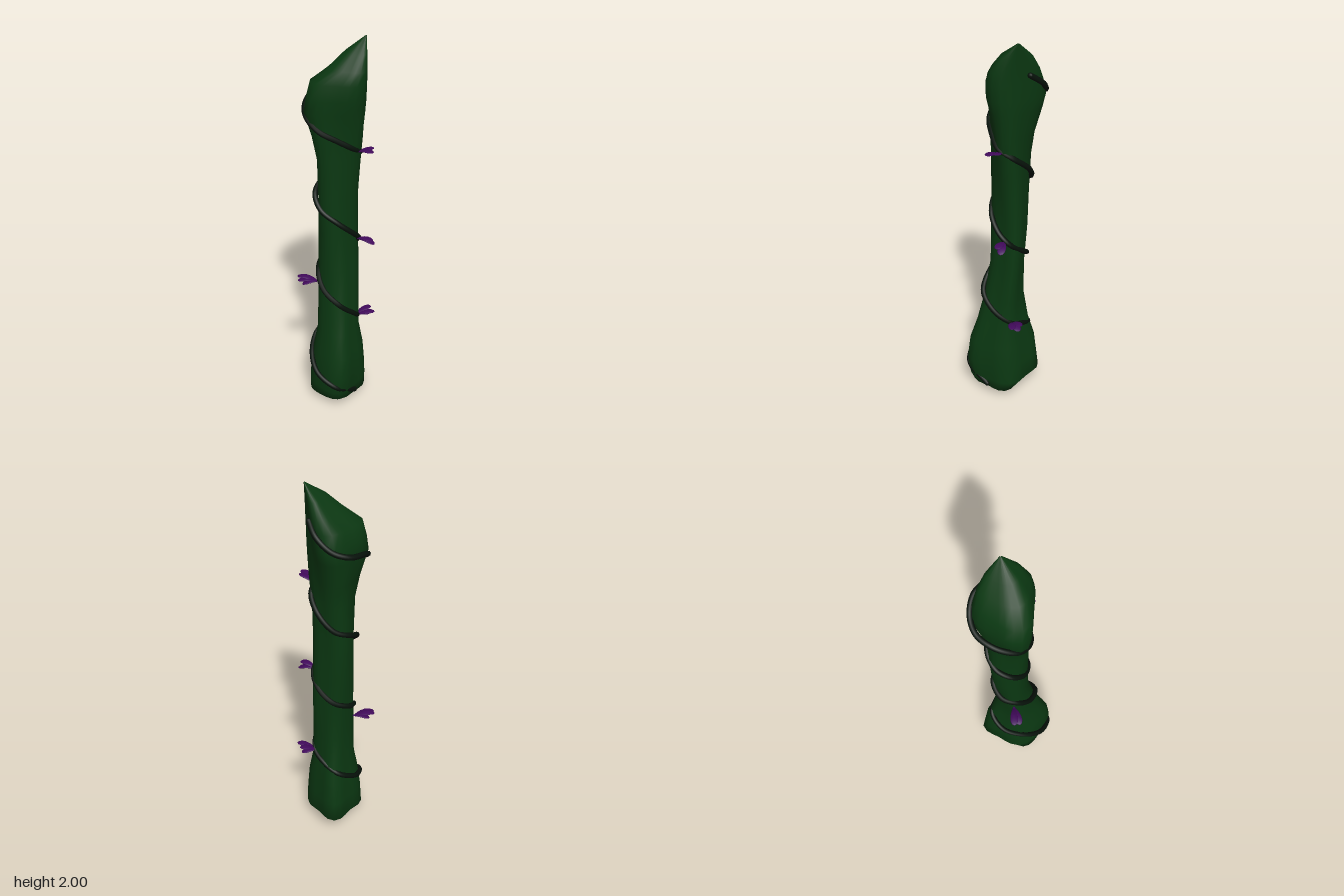
import * as THREE from 'three';

const green = new THREE.MeshStandardMaterial({ color: 0x0b3812 });
const vineMat = new THREE.MeshStandardMaterial({ color: 0x07120a });
const purple = new THREE.MeshStandardMaterial({ color: 0x420a5c });
const SIDES = 24;

// Trunk sections: y, then the reach in x (min, max) and z (min, max)
const sections = [
  [0, 0, 0.004, 0.04, 0.044],
  [0.015, -0.06, 0.05, -0.04, 0.13],
  [0.05, -0.145, 0.15, -0.11, 0.17],
  [0.1, -0.143, 0.155, -0.187, 0.19],
  [0.2, -0.137, 0.15, -0.175, 0.203],
  [0.32, -0.122, 0.14, -0.16, 0.188],
  [0.44, -0.1, 0.118, -0.125, 0.148],
  [0.6, -0.096, 0.115, -0.1, 0.107],
  [0.8, -0.092, 0.115, -0.1, 0.072],
  [1.0, -0.09, 0.112, -0.118, 0.064],
  [1.2, -0.09, 0.11, -0.126, 0.06],
  [1.4, -0.095, 0.117, -0.13, 0.058],
  [1.52, -0.118, 0.126, -0.147, 0.06],
  [1.65, -0.155, 0.132, -0.178, 0.08],
  [1.72, -0.145, 0.135, -0.187, 0.097],
  [1.8, -0.124, 0.137, -0.17, 0.1],
  [1.86, -0.04, 0.138, -0.147, 0.087],
  [1.93, 0.035, 0.139, -0.108, 0.045],
  [2.0, 0.136, 0.14, -0.037, -0.033],
];

// Outline that goes from a lopsided diamond at the foot to a
// rounded triangle at the head, fitted to its section
function ring([y, x0, x1, z0, z1]) {
  const phase = Math.PI / 4 + (Math.min(y, 1.75) - 1.75) * 1.2;
  const blend = THREE.MathUtils.smoothstep(y, 0.3, 1.6);
  const pts = Array.from({ length: SIDES }, (_, i) => {
    const t = (i / SIDES) * Math.PI * 2;
    const bulge = Math.max(0, Math.cos(t - 0.75 * Math.PI)) ** 4;
    const foot = 1 + 0.1 * Math.cos(4 * t) + 0.18 * bulge;
    const head = 1 / (1 - 0.16 * Math.cos(3 * (t - phase)));
    const r = THREE.MathUtils.lerp(foot, head, blend);
    return [r * Math.cos(t), r * Math.sin(t)];
  });
  const fit = (k, lo, hi) => {
    const v = pts.map((p) => p[k]);
    const a = Math.min(...v), b = Math.max(...v);
    return (n) => lo + ((n - a) / (b - a)) * (hi - lo);
  };
  const fx = fit(0, x0, x1), fz = fit(1, z0, z1);
  return pts.flatMap(([x, z]) => [fx(x), y, fz(z)]);
}

function trunkGeometry() {
  const index = [];
  for (let j = 0; j < sections.length - 1; j++) {
    for (let i = 0; i < SIDES; i++) {
      const a = j * SIDES + i, b = j * SIDES + ((i + 1) % SIDES);
      index.push(a, a + SIDES, b, b, a + SIDES, b + SIDES);
    }
  }
  const geo = new THREE.BufferGeometry();
  geo.setAttribute('position', new THREE.Float32BufferAttribute(sections.flatMap(ring), 3));
  geo.setIndex(index);
  geo.computeVertexNormals();
  return geo;
}

// Points the vine climbs through
const vinePath = [
  [0.09, 0.07, 0.115], [-0.02, 0.15, 0.192], [-0.11, 0.21, 0.14], [-0.135, 0.27, 0.04],
  [-0.1, 0.33, -0.08], [-0.01, 0.39, -0.13], [0.06, 0.43, -0.09], [0.108, 0.47, -0.02],
  [0.09, 0.54, 0.07], [0.01, 0.62, 0.115], [-0.07, 0.69, 0.07], [-0.095, 0.76, 0],
  [-0.07, 0.8, -0.08], [0.01, 0.84, -0.112], [0.085, 0.9, -0.07], [0.112, 0.96, 0],
  [0.08, 1.01, 0.045], [0, 1.08, 0.066], [-0.08, 1.14, 0.035], [-0.105, 1.2, -0.03],
  [-0.07, 1.24, -0.1], [0.01, 1.28, -0.13], [0.085, 1.36, -0.1], [0.116, 1.43, -0.02],
  [0.08, 1.47, 0.045], [0, 1.52, 0.064], [-0.09, 1.57, 0.055], [-0.148, 1.63, -0.01],
  [-0.13, 1.68, -0.11], [-0.06, 1.7, -0.18], [0.02, 1.73, -0.192], [0.09, 1.79, -0.16],
  [0.12, 1.84, -0.095],
].map((p) => new THREE.Vector3(...p));

// Flat drooping petal running from a to b, broadest near its tip
function petal(a, b) {
  const from = new THREE.Vector3(...a), to = new THREE.Vector3(...b);
  const dir = to.clone().sub(from), half = dir.length() / 2;
  dir.normalize();
  const side = dir.clone().cross(new THREE.Vector3(0, 1, 0)).normalize();
  const up = side.clone().cross(dir);
  const geo = new THREE.SphereGeometry(1, 14, 10).scale(half, 0.005, 0.019);
  const pos = geo.attributes.position;
  for (let i = 0; i < pos.count; i++) {
    const x = pos.getX(i);
    pos.setY(i, pos.getY(i) - 4 * x * x);
    pos.setZ(i, pos.getZ(i) * (1 + (0.5 * x) / half));
  }
  geo.computeVertexNormals();
  const mesh = new THREE.Mesh(geo, purple);
  mesh.name = 'petal';
  mesh.quaternion.setFromRotationMatrix(new THREE.Matrix4().makeBasis(dir, up, side));
  mesh.position.copy(from).add(to).multiplyScalar(0.5);
  return mesh;
}

// Each blossom: its root, then the tips of its petals
const blossoms = [
  [[0.1, 0.475, -0.02], [0.185, 0.51, -0.048], [0.2, 0.508, 0], [0.18, 0.47, -0.04]],
  [[-0.09, 0.7, -0.02], [-0.2, 0.73, -0.035], [-0.2, 0.722, -0.005], [-0.18, 0.685, -0.02]],
  [[0.1, 0.975, 0.02], [0.19, 0.958, 0.06], [0.175, 0.985, 0.075]],
  [[0.1, 1.46, 0.04], [0.16, 1.49, 0.118], [0.17, 1.49, 0.075]],
];

export function createModel() {
  const model = new THREE.Group();
  const add = (part, name) => {
    part.name = name;
    model.add(part);
  };

  add(new THREE.Mesh(trunkGeometry(), green), 'trunk');

  // Vine with rounded ends
  const vine = new THREE.Group();
  const curve = new THREE.CatmullRomCurve3(vinePath);
  vine.add(new THREE.Mesh(new THREE.TubeGeometry(curve, 240, 0.0135, 8), vineMat));
  for (const end of [vinePath[0], vinePath[vinePath.length - 1]]) {
    const tip = new THREE.Mesh(new THREE.SphereGeometry(0.0135, 10, 8), vineMat);
    tip.position.copy(end);
    vine.add(tip);
  }
  add(vine, 'vine');

  for (const [root, ...tips] of blossoms) {
    const blossom = new THREE.Group();
    for (const tip of tips) blossom.add(petal(root, tip));
    add(blossom, 'blossom');
  }
  return model;
}
